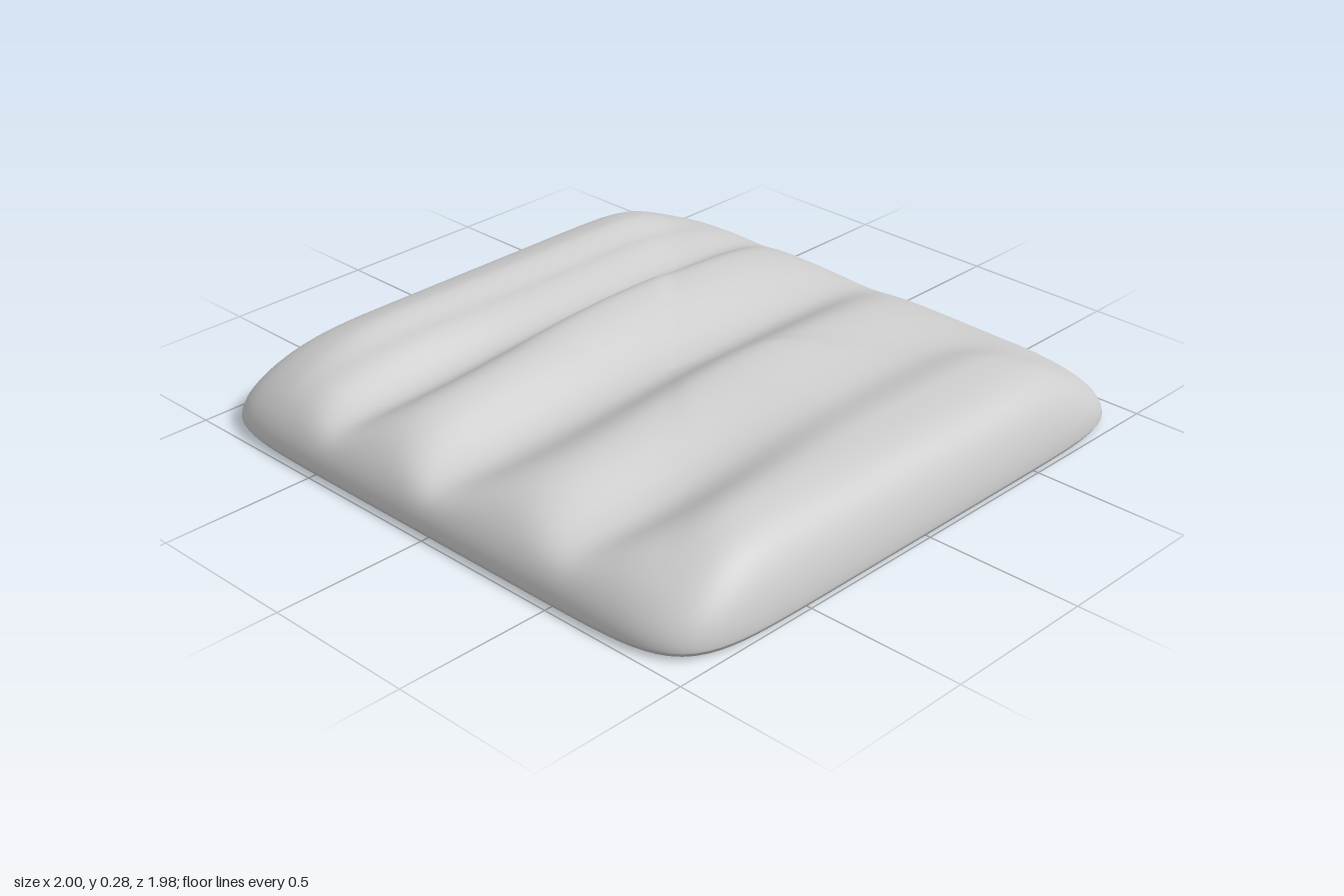
import * as THREE from 'three';
import { mergeVertices } from 'three/addons/utils/BufferGeometryUtils.js';

// Crests and valleys across the width, as [x, height], towards the back and the front
const BACK = [[-1, 0.3], [-0.75, 0.295], [-0.62, 0.24], [-0.46, 0.185], [-0.3, 0.287], [0, 0.166], [0.25, 0.28], [0.54, 0.228], [0.74, 0.272], [1, 0.28]];
const FRONT = [[-1, 0.3], [-0.76, 0.295], [-0.64, 0.24], [-0.47, 0.145], [-0.26, 0.25], [-0.02, 0.13], [0.26, 0.235], [0.51, 0.145], [0.8, 0.28], [1, 0.28]];
const HOLLOWS = [-0.81, -0.3, 0.22, 0.74];
const ROUND = 9; // squareness of the outline
const RIM = 0.022; // height of the widest line

// Smooth wave through the knots
function wave(knots, x) {
  let i = 0;
  while (i < knots.length - 2 && x > knots[i + 1][0]) i++;
  const [[x0, y0], [x1, y1]] = [knots[i], knots[i + 1]];
  return THREE.MathUtils.lerp(y0, y1, THREE.MathUtils.smoothstep(x, x0, x1));
}

// Ridged top, softly limited by a shoulder that starts steep and flattens out
function topHeight(x, z, edge, shoulder) {
  const ridges = THREE.MathUtils.lerp(wave(BACK, x), wave(FRONT, x), THREE.MathUtils.smoothstep(z, -0.1, 0.7));
  const rim = RIM + 0.245 * (edge / shoulder) ** 0.57;
  return (ridges ** -4 + rim ** -4) ** -0.25;
}

// Underside with long hollows below the ridges and a narrow undercut at the rim
function bottomHeight(x, z, edge) {
  let y = 0;
  for (const c of HOLLOWS) y += 0.04 * Math.exp(-(((x - c) / 0.09) ** 2));
  y *= 1 - THREE.MathUtils.smoothstep(Math.abs(z - 0.08), 0.5, 0.9);
  y *= THREE.MathUtils.smoothstep(edge, 0.03, 0.15);
  const t = 1 - Math.min(edge / 0.02, 1);
  return y + RIM * t * t;
}

// Closed skin: rings run from the top centre over the rim to the bottom centre
function cushionGeometry() {
  const geo = new THREE.PlaneGeometry(1, 1, 240, 120);
  const pos = geo.attributes.position;
  for (let i = 0; i < pos.count; i++) {
    const angle = (pos.getX(i) + 0.5) * Math.PI * 2;
    const v = 0.5 - pos.getY(i);
    const onTop = v <= 0.6;
    const s = onTop ? Math.sin((v / 0.6) * Math.PI / 2) : Math.cos(((v - 0.6) / 0.4) * Math.PI / 2);

    // Rounded-square outline
    const c = Math.cos(angle), n = -Math.sin(angle);
    const size = (Math.abs(c) ** ROUND + Math.abs(n) ** ROUND) ** (-1 / ROUND);
    const ox = c * size, oz = n * size;
    const x = ox * s, z = oz * s * 0.99;

    // Shoulder width differs per side, blends round the corners and widens there
    const wx = Math.abs(ox) ** ROUND;
    const side = wx * (ox > 0 ? 0.118 : 0.163) + (1 - wx) * (oz > 0 ? 0.226 : 0.32);
    const shoulder = side * (1 + wx * (1 - wx));
    const y = onTop ? topHeight(x, z, 1 - s, shoulder) : bottomHeight(x, z, 1 - s);
    pos.setXYZ(i, x, y, z);
  }
  geo.deleteAttribute('uv');
  geo.deleteAttribute('normal');
  const skin = mergeVertices(geo, 1e-5);
  skin.computeVertexNormals();
  return skin;
}

export function createModel() {
  const group = new THREE.Group();
  group.name = 'ridgedCushion';
  const cushion = new THREE.Mesh(cushionGeometry(), new THREE.MeshStandardMaterial({ color: 0xcccccc }));
  cushion.name = 'cushion';
  group.add(cushion);
  return group;
}
